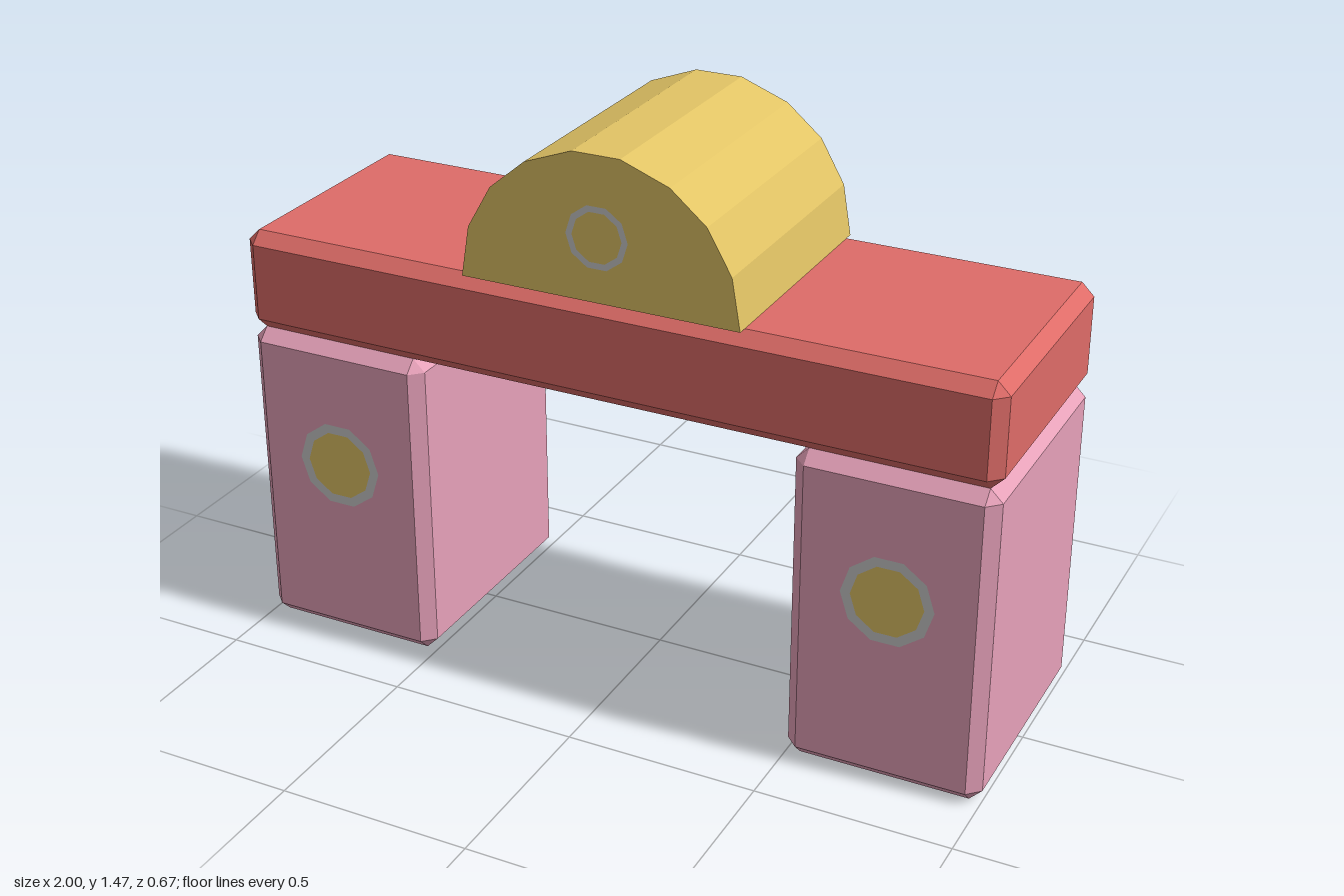
import * as THREE from 'three';
import { ConvexGeometry } from 'three/addons/geometries/ConvexGeometry.js';

const material = (color) => new THREE.MeshStandardMaterial({ color, flatShading: true });

function addMesh(parent, name, geometry, mat, x = 0, y = 0, z = 0) {
  const mesh = new THREE.Mesh(geometry, mat);
  mesh.name = name;
  mesh.position.set(x, y, z);
  parent.add(mesh);
  return mesh;
}

// Box with every edge cut at 45 degrees and a triangle on each corner
function chamferedBox(w, h, d, c) {
  const points = [];
  for (const sx of [-1, 1]) for (const sy of [-1, 1]) for (const sz of [-1, 1]) {
    const x = w / 2, y = h / 2, z = d / 2;
    points.push(
      new THREE.Vector3(sx * x, sy * (y - c), sz * (z - c)),
      new THREE.Vector3(sx * (x - c), sy * y, sz * (z - c)),
      new THREE.Vector3(sx * (x - c), sy * (y - c), sz * z),
    );
  }
  return new ConvexGeometry(points);
}

export function createModel() {
  const model = new THREE.Group();
  model.name = 'blockBridge';
  const red = material(0xde6c68);
  const pink = material(0xe6a1b9);
  const yellow = material(0xe2c465);
  const white = material(0xe6e6e6);
  const depth = 0.664, chamfer = 0.032, legHeight = 0.835, beamHeight = 0.265;

  // Two upright blocks with a ringed dot on front and back
  for (const side of [-1, 1]) {
    const leg = new THREE.Group();
    leg.name = side > 0 ? 'leftLeg' : 'rightLeg';
    leg.position.set(side * 0.75, 0, 0);
    model.add(leg);
    addMesh(leg, 'legBlock', chamferedBox(0.5, legHeight, depth, chamfer), pink, 0, legHeight / 2, 0);
    for (const face of [1, -1]) {
      const z = face * (depth / 2 + 0.001);
      const dot = addMesh(leg, 'dot', new THREE.CircleGeometry(0.092, 10), yellow, 0, 0.5, z);
      const ring = addMesh(leg, 'dotRing', new THREE.RingGeometry(0.092, 0.117, 10), white, 0, 0.5, z);
      if (face < 0) dot.rotation.y = ring.rotation.y = Math.PI;
    }
  }

  // Beam lying across both legs
  addMesh(model, 'beam', chamferedBox(2, beamHeight, depth, chamfer), red, 0, legHeight + beamHeight / 2, 0);

  // Faceted half-round block on the beam
  const half = [[0.365, 0], [0.343, 0.13], [0.28, 0.24], [0.187, 0.318], [0.062, 0.365]];
  const outline = [...half, ...half.map(([x, y]) => [-x, y]).reverse()];
  const profile = new THREE.Shape(outline.map(([x, y]) => new THREE.Vector2(x, y)));
  const archDepth = 0.65;
  const arch = new THREE.ExtrudeGeometry(profile, { depth: archDepth, bevelEnabled: false });
  addMesh(model, 'halfRoundBlock', arch, yellow, 0, legHeight + beamHeight, -archDepth / 2);

  // Thin ring on the front of the half-round block
  addMesh(model, 'frontRing', new THREE.RingGeometry(0.065, 0.081, 10), white, 0, 1.263, archDepth / 2 + 0.001);

  return model;
}
